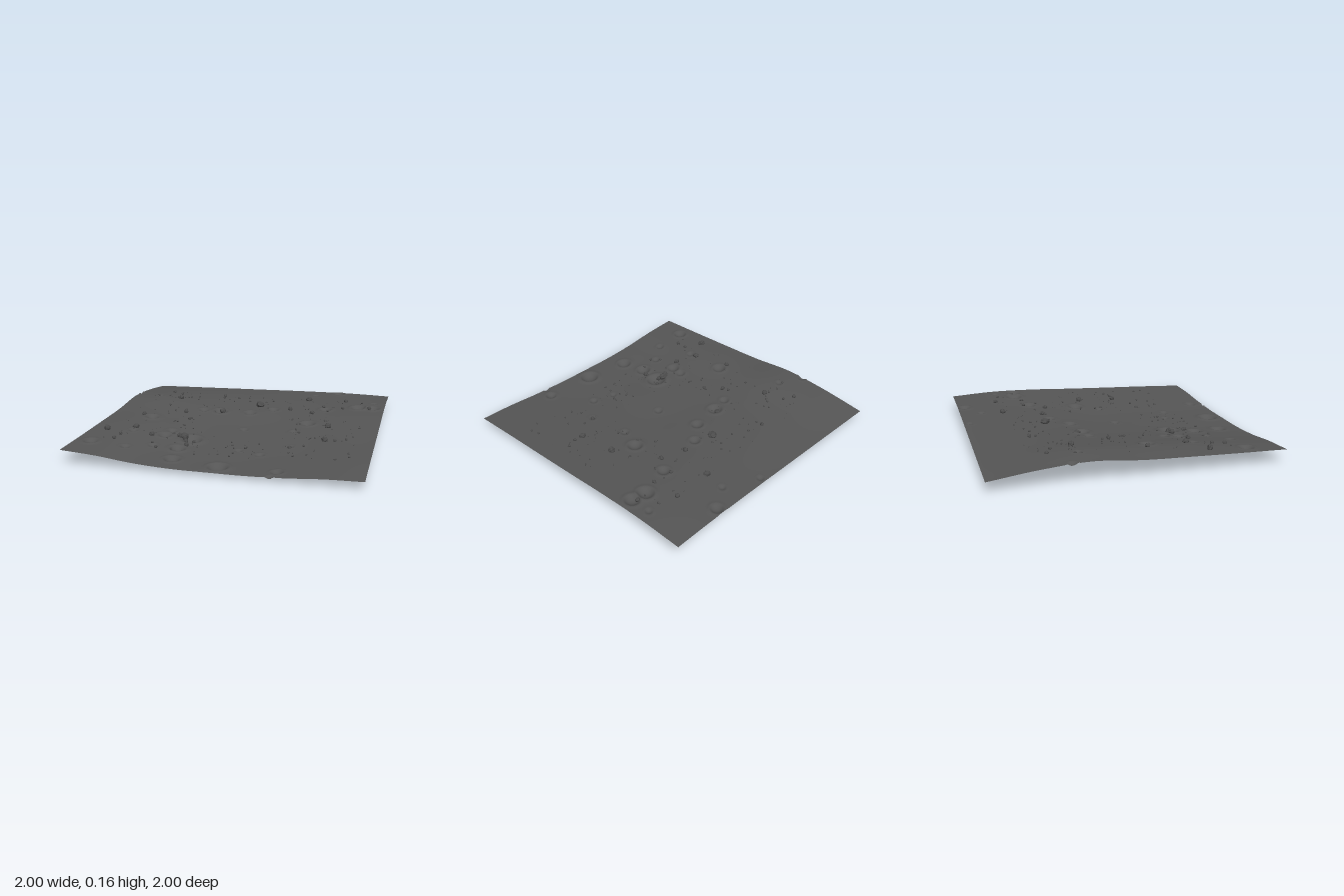
import * as THREE from 'three';
import { mergeGeometries, mergeVertices } from 'three/addons/utils/BufferGeometryUtils.js';

// Broad ground heights: rows run from front (z = 1) to back (z = -1), columns from x = -1 to x = 1
const HEIGHTS = [
  [.104, .085, .055, .038, .034, .033, .040, .055, .060],
  [.109, .100, .070, .046, .040, .038, .047, .064, .075],
  [.116, .118, .090, .065, .057, .053, .063, .077, .087],
  [.125, .128, .105, .085, .075, .070, .080, .092, .100],
  [.148, .150, .126, .108, .100, .095, .098, .108, .115],
  [.125, .127, .119, .115, .111, .108, .108, .113, .119],
  [.080, .085, .090, .095, .100, .105, .108, .108, .102],
];

// Craters: x, z, radius
const CRATERS = [
  [.59, -.95, .05], [.41, -.84, .03], [.16, -.96, .03], [.80, -.52, .065], [.91, -.51, .06], [.91, -.66, .03],
  [.55, -.44, .05], [.15, -.36, .045], [-.01, -.24, .05], [-.24, -.21, .06], [-.37, -.19, .04], [.47, -.08, .06],
  [.40, .10, .035], [-.68, .13, .055], [-.45, .34, .04], [-.47, .44, .05], [-.27, .44, .08], [-.70, .46, .035],
  [-.31, .63, .06], [-.48, .65, .035], [-.89, .76, .055], [-.64, .76, .035], [-.28, .83, .06], [.05, .89, .075],
  [.44, .90, .045], [.41, .99, .03], [.26, .60, .035], [.43, .42, .03], [.10, .55, .03], [-.80, -.38, .03],
  [-.99, -.46, .035], [.03, .12, .035],
];

// Boulders: x, z, radius
const BOULDERS = [
  [-.62, -.38, .022], [.03, -.42, .029], [.38, -.68, .024], [.68, -.69, .015], [-.23, -.24, .022], [.63, -.01, .025],
  [.28, -.39, .018], [.46, -.33, .015], [.88, -.53, .018], [-.88, .50, .025], [-.70, .40, .020], [-.33, .42, .028],
  [-.36, .43, .018], [-.31, .45, .018], [-.26, .42, .013], [-.55, .48, .018], [-.48, -.08, .018], [-.75, .11, .018],
  [-.27, .56, .018], [.65, .28, .020], [.43, .42, .017], [-.74, -.57, .014], [-.66, -.53, .013], [-.31, -.60, .015],
  [.53, -.49, .012], [.72, .28, .012], [-.75, .57, .014], [-.76, .66, .014], [-.41, .05, .013], [-.45, .68, .012],
  [.68, -.48, .013],
];

function seeded(seed) {
  return () => {
    seed = (seed * 1664525 + 1013904223) % 4294967296;
    return seed / 4294967296;
  };
}

// Smooth curve through evenly spaced values, t from 0 to 1
function spline(values, t) {
  const last = values.length - 1;
  const i = Math.min(Math.floor(t * last), last - 1);
  const f = t * last - i;
  const b = values[i], c = values[i + 1];
  const a = i > 0 ? values[i - 1] : 2 * b - c;
  const d = i + 2 <= last ? values[i + 2] : 2 * c - b;
  return b + 0.5 * f * (c - a + f * (2 * a - 5 * b + 4 * c - d + f * (3 * (b - c) + d - a)));
}

function groundHeight(x, z) {
  let y = spline(HEIGHTS.map((row) => spline(row, (x + 1) / 2)), (1 - z) / 2);
  // Shallow dish in the middle
  y -= 0.006 * Math.exp(-(((x - 0.04) ** 2 + (z - 0.03) ** 2) / 0.025));
  // Bowl and raised rim of each crater
  for (const [cx, cz, r] of CRATERS) {
    const t = Math.hypot(x - cx, z - cz) / r;
    if (t > 2) continue;
    if (t < 1) y -= 0.36 * r * (1 - t * t) ** 1.2;
    y += 0.1 * r * Math.exp(-(((t - 1) / 0.28) ** 2));
  }
  return y;
}

// Lumpy stone, partly sunk in the ground
function rockGeometry(x, z, r, detail, random) {
  const base = new THREE.IcosahedronGeometry(1, detail);
  base.deleteAttribute('normal');
  base.deleteAttribute('uv');
  const geometry = mergeVertices(base, 1e-3);
  const p = geometry.attributes.position;
  for (let i = 0; i < p.count; i++) {
    const k = 0.85 + 0.3 * random();
    p.setXYZ(i, p.getX(i) * k, p.getY(i) * k, p.getZ(i) * k);
  }
  geometry.scale(r * (0.8 + 0.4 * random()), r * (0.75 + 0.3 * random()), r * (0.7 + 0.4 * random()));
  geometry.rotateY(random() * Math.PI * 2);
  geometry.translate(x, groundHeight(x, z) + r * 0.4, z);
  const faceted = geometry.toNonIndexed();
  faceted.computeVertexNormals();
  return faceted;
}

export function createModel() {
  const random = seeded(41);
  const model = new THREE.Group();
  model.name = 'crateredGround';

  const dust = new THREE.MeshStandardMaterial({ color: 0x555555, side: THREE.DoubleSide });
  dust.name = 'dust grey';
  const stone = new THREE.MeshStandardMaterial({ color: 0x4c4c4c, flatShading: true });
  stone.name = 'stone grey';

  // Ground sheet
  const sheet = new THREE.PlaneGeometry(2, 2, 180, 180).rotateX(-Math.PI / 2);
  const p = sheet.attributes.position;
  for (let i = 0; i < p.count; i++) p.setY(i, groundHeight(p.getX(i), p.getZ(i)));
  sheet.computeVertexNormals();
  const ground = new THREE.Mesh(sheet, dust);
  ground.name = 'ground';
  model.add(ground);

  // Boulders
  const boulders = new THREE.Mesh(
    mergeGeometries(BOULDERS.map(([x, z, r]) => rockGeometry(x, z, r, 2, random))), stone);
  boulders.name = 'boulders';
  model.add(boulders);

  // Scattered pebbles, leaving the middle clear
  const pebbleParts = [];
  while (pebbleParts.length < 210) {
    const x = (random() * 2 - 1) * 0.88, z = (random() * 2 - 1) * 0.7;
    const r = 0.003 + 0.007 * random() ** 2;
    if (Math.hypot(x - 0.04, z - 0.03) > 0.33) pebbleParts.push(rockGeometry(x, z, r, 1, random));
  }
  const pebbles = new THREE.Mesh(mergeGeometries(pebbleParts), stone);
  pebbles.name = 'pebbles';
  model.add(pebbles);

  return model;
}
